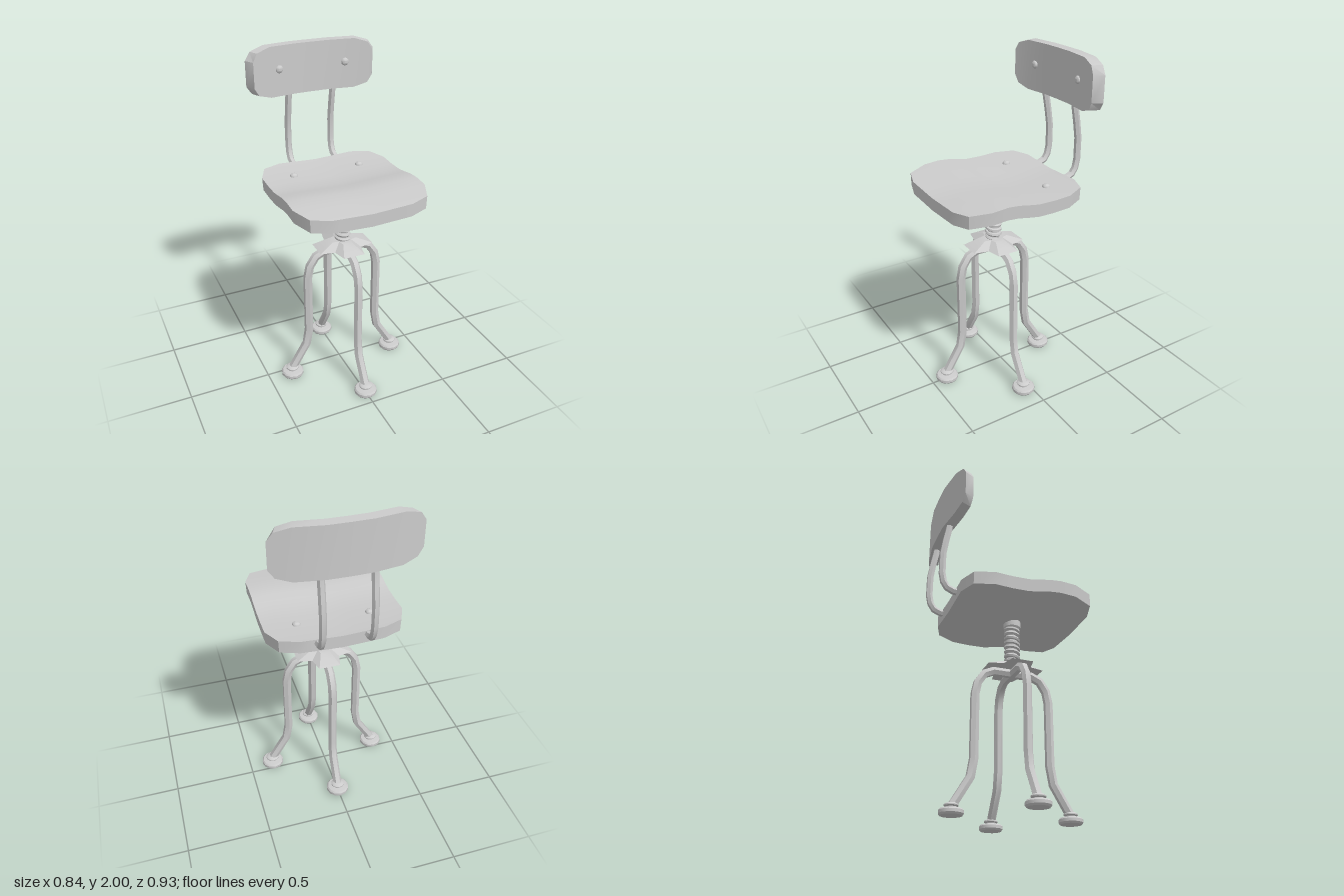
import * as THREE from 'three';
import { toCreasedNormals } from 'three/addons/utils/BufferGeometryUtils.js';

const material = new THREE.MeshStandardMaterial({ color: 0xcccccc });
const AXIS_Z = 0.05; // the pedestal stands a little in front of centre

// Straight-segment path whose joints are mitred
class Polyline extends THREE.Curve {
  constructor(points) {
    super();
    this.points = points.map((p) => new THREE.Vector3(...p));
  }
  getPointAt(u, target = new THREE.Vector3()) {
    const n = this.points.length - 1;
    const i = Math.min(Math.floor(u * n + 1e-6), n - 1);
    return target.lerpVectors(this.points[i], this.points[i + 1], u * n - i);
  }
  getTangentAt(u, target = new THREE.Vector3()) {
    const p = this.points, n = p.length - 1, i = Math.round(u * n);
    target.set(0, 0, 0);
    if (i > 0) target.add(p[i].clone().sub(p[i - 1]).normalize());
    if (i < n) target.add(p[i + 1].clone().sub(p[i]).normalize());
    return target.normalize();
  }
}

function part(name, geometry, parent, x = 0, y = 0, z = 0) {
  const mesh = new THREE.Mesh(toCreasedNormals(geometry, 0.6), material);
  mesh.name = name;
  mesh.position.set(x, y, z);
  parent.add(mesh);
  return mesh;
}

const rod = (points, radius) =>
  new THREE.TubeGeometry(new Polyline(points), points.length - 1, radius, 6);

const lathe = (profile, sides) =>
  new THREE.LatheGeometry(profile.map((p) => new THREE.Vector2(...p)), sides);

// Moves every vertex of a geometry by a rule
function reshape(geometry, rule) {
  const pos = geometry.attributes.position;
  const v = new THREE.Vector3();
  for (let i = 0; i < pos.count; i++) {
    rule(v.fromBufferAttribute(pos, i));
    pos.setXYZ(i, v.x, v.y, v.z);
  }
  return geometry;
}

// Seat stations from back to front: z, half width, top height
const SEAT = [
  [-0.355, 0.24, 1.295], [-0.315, 0.35, 1.29], [-0.205, 0.4, 1.283],
  [-0.1, 0.4, 1.278], [0, 0.4, 1.28], [0.07, 0.4, 1.292], [0.13, 0.4, 1.304],
  [0.2, 0.4, 1.31], [0.295, 0.4, 1.303], [0.41, 0.35, 1.29], [0.445, 0.24, 1.285],
];

function seatGeometry() {
  const rows = SEAT.length - 1;
  return reshape(new THREE.BoxGeometry(2, 1, 1, 8, 1, rows), (v) => {
    const [z, half, top] = SEAT[Math.round((v.z + 0.5) * rows)];
    const under = v.y < 0;
    const x = v.x * half;
    // slight dish towards the middle, underside a touch smaller
    const dish = 0.016 * (1 - Math.min(1, Math.abs(x) / 0.35));
    v.set(x * (under ? 0.99 : 1), top - dish - (under ? 0.076 : 0), z);
  });
}

// Backrest stations from the middle outwards: back x, back z, front x, front z, half height
const REST = [
  [0, -0.45, 0, -0.385, 0.147], [0.12, -0.448, 0.11, -0.383, 0.147],
  [0.285, -0.423, 0.265, -0.362, 0.147], [0.37, -0.403, 0.345, -0.345, 0.122],
  [0.403, -0.395, 0.372, -0.338, 0.075],
];

function backrestGeometry() {
  const n = REST.length - 1;
  return reshape(new THREE.BoxGeometry(2, 2, 2, n * 2, 1, 1), (v) => {
    const [bx, bz, fx, fz, half] = REST[Math.round(Math.abs(v.x) * n)];
    const front = v.z > 0;
    v.set(Math.sign(v.x) * (front ? fx : bx), 1.853 + v.y * half, front ? fz : bz);
  });
}

// Four-armed hub plate whose arms slope up to a small cap
function hubGeometry() {
  const outline = [];
  for (let i = 0; i < 4; i++) {
    for (const [x, y] of [[0.17, -0.065], [0.17, 0.065], [0.085, 0.085]]) {
      outline.push(new THREE.Vector2(x, y).rotateAround(new THREE.Vector2(), i * Math.PI / 2));
    }
  }
  const geometry = new THREE.ExtrudeGeometry(new THREE.Shape(outline), { depth: 0.04, bevelEnabled: false });
  reshape(geometry, (v) => {
    if (v.z > 0.02) { v.x *= 0.45; v.y *= 0.45; }
  });
  return geometry.rotateX(-Math.PI / 2);
}

// Screw thread winding up the post
class Helix extends THREE.Curve {
  getPoint(t, target = new THREE.Vector3()) {
    const a = t * 8 * Math.PI * 2;
    return target.set(Math.cos(a) * 0.038, t * 0.24, Math.sin(a) * 0.038);
  }
}

export function createModel() {
  const model = new THREE.Group();
  model.name = 'swivelChair';

  part('seat', seatGeometry(), model);
  part('backrest', backrestGeometry(), model);

  // Domed fasteners and bent rods, mirrored left and right
  const dome = () => new THREE.SphereGeometry(0.024, 12, 6, 0, Math.PI * 2, 0, Math.PI / 2);
  for (const side of [-1, 1]) {
    part('seatBolt', dome().scale(1, 0.8, 1), model, side * 0.213, 1.275, -0.175);
    part('backrestBolt', dome().scale(1, 0.8, 1).rotateX(Math.PI / 2), model, side * 0.208, 1.865, -0.373);
    const path = [
      [0, 1.258, -0.31], [0, 1.265, -0.375], [0, 1.28, -0.41], [0, 1.315, -0.433],
      [0, 1.37, -0.444], [0, 1.5, -0.444], [0, 1.6, -0.429], [0, 1.69, -0.412], [0, 1.76, -0.41],
    ];
    part('backSupport', rod(path, 0.021), model, side * 0.142);
  }

  // Height-adjusting screw
  const pedestal = new THREE.Group();
  pedestal.name = 'pedestal';
  pedestal.position.z = AXIS_Z;
  model.add(pedestal);
  part('screwPost', new THREE.CylinderGeometry(0.036, 0.036, 0.32, 16), pedestal, 0, 1.05);
  part('screwThread', new THREE.TubeGeometry(new Helix(), 160, 0.012, 6), pedestal, 0, 0.92);
  part('collar', lathe([[0, 1.155], [0.045, 1.155], [0.052, 1.165], [0.052, 1.23], [0, 1.23]], 16), pedestal);
  part('hub', hubGeometry(), pedestal, 0, 0.883);

  // Four legs with round feet
  const legPath = [
    [0, 0.86, 0], [0.12, 0.86, 0], [0.175, 0.835, 0], [0.215, 0.775, 0], [0.23, 0.7, 0],
    [0.23, 0.32, 0], [0.248, 0.215, 0], [0.345, 0.055, 0],
  ];
  const footProfile = [
    [0, 0], [0.062, 0], [0.07, 0.01], [0.07, 0.027], [0.062, 0.036], [0.032, 0.04],
    [0.032, 0.046], [0.041, 0.052], [0.041, 0.058], [0.03, 0.066], [0, 0.068],
  ];
  for (let i = 0; i < 4; i++) {
    const leg = new THREE.Group();
    leg.name = 'leg';
    leg.rotation.y = i * Math.PI / 2;
    part('legRod', rod(legPath, 0.027), leg);
    part('foot', lathe(footProfile, 12), leg, 0.35);
    pedestal.add(leg);
  }
  return model;
}
